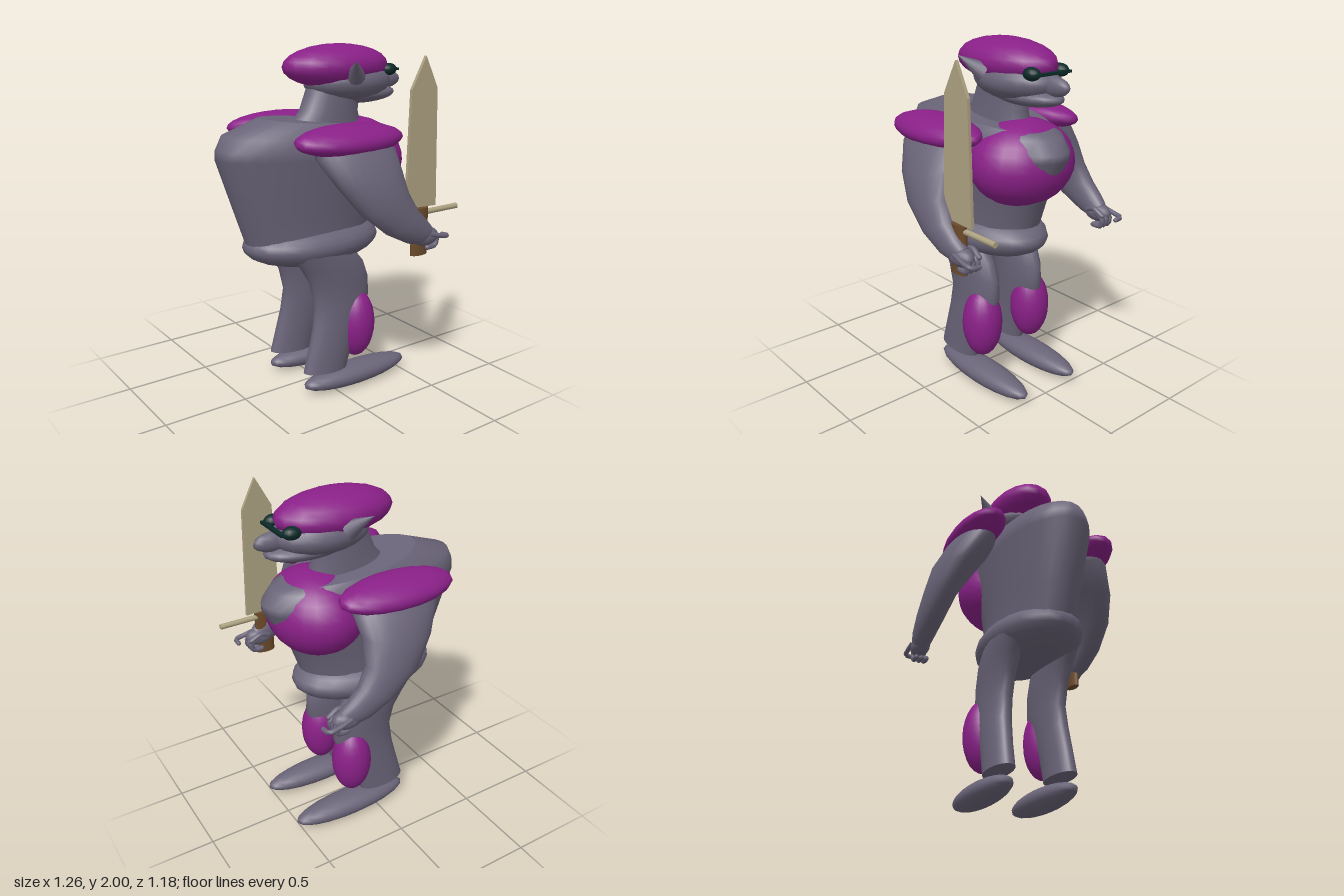
import * as THREE from 'three';

const mat = (name, color) => {
  const m = new THREE.MeshStandardMaterial({ color });
  m.name = name;
  return m;
};

export function createModel() {
  const root = new THREE.Group();
  root.name = 'armouredCreature';
  const skin = mat('grey skin', 0x6a6478);
  const armour = mat('purple armour', 0x8a2088);
  const steel = mat('pale blade', 0xada281);
  const wood = mat('brown grip', 0x6b4a2a);
  const dark = mat('dark glass', 0x0b2a28);

  const add = (name, geometry, material) => {
    const mesh = new THREE.Mesh(geometry, material);
    mesh.name = name;
    root.add(mesh);
    return mesh;
  };

  const ellipsoid = (name, material, [x, y, z], [rx, ry, rz], w = 20, h = 14) => {
    const mesh = add(name, new THREE.SphereGeometry(1, w, h), material);
    mesh.position.set(x, y, z);
    mesh.scale.set(rx, ry, rz);
    return mesh;
  };

  // Closed body through oval sections, listed bottom to top:
  // [back x, back y, front x, front y, centre z, half width in z]
  const loft = (name, material, sections, n = 24) => {
    const pos = [], idx = [];
    const ring = ([ax, ay, bx, by, cz, hz]) => {
      for (let j = 0; j < n; j++) {
        const t = (j / n) * Math.PI * 2, c = Math.cos(t) / 2;
        pos.push((ax + bx) / 2 + (bx - ax) * c, (ay + by) / 2 + (by - ay) * c, cz + hz * Math.sin(t));
      }
    };
    sections.forEach(ring);
    for (let k = 0; k < sections.length - 1; k++) {
      for (let j = 0; j < n; j++) {
        const a = k * n + j, b = k * n + ((j + 1) % n);
        idx.push(a, a + n, b, b, a + n, b + n);
      }
    }
    // separate cap rings keep the rims sharp
    [sections[0], sections[sections.length - 1]].forEach((s, top) => {
      const start = pos.length / 3;
      ring(s);
      pos.push((s[0] + s[2]) / 2, (s[1] + s[3]) / 2, s[4]);
      for (let j = 0; j < n; j++) {
        const a = start + j, b = start + ((j + 1) % n);
        idx.push(start + n, top ? b : a, top ? a : b);
      }
    });
    const g = new THREE.BufferGeometry();
    g.setAttribute('position', new THREE.Float32BufferAttribute(pos, 3));
    g.setIndex(idx);
    g.computeVertexNormals();
    return add(name, g, material);
  };

  const tube = (name, material, points, r) => {
    const v = points.map((p) => new THREE.Vector3(...p));
    add(name, new THREE.TubeGeometry(new THREE.CatmullRomCurve3(v), 10, r, 8), material);
    const tip = points[points.length - 1];
    ellipsoid(name + 'Tip', material, tip, [r, r, r], 8, 6);
  };

  // Trunk
  loft('torso', skin, [
    [-0.46, 0.93, 0.37, 0.99, 0, 0.21],
    [-0.52, 1.1, 0.42, 1.13, 0, 0.22],
    [-0.63, 1.42, 0.575, 1.4, 0, 0.265],
    [-0.625, 1.47, 0.575, 1.44, 0, 0.265],
    [-0.59, 1.54, 0.52, 1.51, 0, 0.25],
    [-0.36, 1.62, 0.44, 1.535, 0, 0.215],
  ], 32);
  ellipsoid('chestPlate', armour, [0.27, 1.345, 0], [0.265, 0.24, 0.31], 24, 16);
  ellipsoid('hips', skin, [-0.03, 0.9, 0], [0.44, 0.14, 0.27], 24, 14);

  // Head
  loft('neck', skin, [
    [-0.17, 1.56, 0.31, 1.52, 0, 0.12],
    [-0.1, 1.64, 0.28, 1.62, 0, 0.112],
    [-0.05, 1.76, 0.28, 1.74, 0, 0.11],
  ]);
  ellipsoid('face', skin, [0.22, 1.79, 0], [0.28, 0.115, 0.187]);
  ellipsoid('cap', armour, [0.14, 1.878, 0], [0.342, 0.122, 0.19], 18, 12);
  ellipsoid('muzzle', skin, [0.3, 1.715, 0], [0.25, 0.055, 0.125]);
  ellipsoid('nose', skin, [0.48, 1.785, 0], [0.127, 0.055, 0.042], 14, 10);
  const bar = add('glassesBar', new THREE.BoxGeometry(0.025, 0.014, 0.23), dark);
  bar.position.set(0.495, 1.85, 0);

  for (const s of [1, -1]) {
    const side = s > 0 ? 'left' : 'right';
    const name = (part) => side + part;

    ellipsoid(name('Lens'), dark, [0.44, 1.85, s * 0.1], [0.052, 0.035, 0.04], 14, 10);

    // Pointed ear, flattened and leaning back
    const base = new THREE.Vector3(0.15, 1.83, s * 0.165);
    const dir = new THREE.Vector3(0.07, 1.92, s * 0.275).sub(base);
    const len = dir.length();
    const ear = add(name('Ear'), new THREE.ConeGeometry(0.055, len, 12), skin);
    ear.position.copy(base).addScaledVector(dir, 0.5);
    ear.quaternion.setFromUnitVectors(new THREE.Vector3(0, 1, 0), dir.normalize());

    // Shoulder and arm
    const pad = ellipsoid(name('ShoulderPad'), armour, [-0.025, 1.525, s * 0.35], [0.345, 0.08, 0.147], 18, 12);
    pad.rotation.x = s * 0.15;
    loft(name('Arm'), skin, [
      [0.31, 0.93, 0.42, 1.02, s * 0.515, 0.05],
      [0.25, 0.945, 0.38, 1.06, s * 0.52, 0.06],
      [0.1, 1.02, 0.31, 1.13, s * 0.517, 0.074],
      [-0.06, 1.15, 0.255, 1.23, s * 0.497, 0.088],
      [-0.17, 1.3, 0.24, 1.36, s * 0.44, 0.12],
      [-0.25, 1.44, 0.25, 1.46, s * 0.37, 0.13],
      [-0.23, 1.53, 0.22, 1.53, s * 0.33, 0.11],
    ]);

    // Hand with curled fingers, a pointing finger and a thumb
    ellipsoid(name('Palm'), skin, [0.38, 0.965, s * 0.512], [0.09, 0.055, 0.055], 14, 10);
    for (let i = 0; i < 3; i++) {
      const z = s * (0.467 + i * 0.03);
      tube(name('CurledFinger'), skin, [[0.4, 0.98, z], [0.455, 0.95, z], [0.445, 0.905, z], [0.39, 0.9, z]], 0.016);
    }
    tube(name('PointingFinger'), skin, [[0.38, 0.985, s * 0.556], [0.46, 0.965, s * 0.562], [0.515, 0.955, s * 0.555], [0.52, 0.95, s * 0.51]], 0.014);
    tube(name('Thumb'), skin, [[0.34, 0.98, s * 0.465], [0.4, 1.0, s * 0.455], [0.46, 0.97, s * 0.46]], 0.015);

    // Leg, knee guard and foot
    loft(name('Leg'), skin, [
      [-0.205, 0.15, 0.09, 0.135, s * 0.18, 0.07],
      [-0.17, 0.28, 0.13, 0.27, s * 0.178, 0.07],
      [-0.135, 0.42, 0.2, 0.42, s * 0.172, 0.075],
      [-0.12, 0.55, 0.26, 0.55, s * 0.163, 0.08],
      [-0.15, 0.68, 0.25, 0.67, s * 0.163, 0.086],
      [-0.21, 0.78, 0.21, 0.77, s * 0.165, 0.092],
      [-0.29, 0.88, 0.15, 0.84, s * 0.165, 0.09],
    ]);
    ellipsoid(name('KneeGuard'), armour, [0.155, 0.39, s * 0.185], [0.117, 0.21, 0.115]);
    ellipsoid(name('Foot'), skin, [0.163, 0.068, s * 0.185], [0.37, 0.067, 0.095]);
  }

  // Sword in the left hand
  const outline = new THREE.Shape([[0.24, 1.14], [0.46, 1.13], [0.437, 1.78], [0.35, 1.95], [0.258, 1.78]]
    .map(([x, y]) => new THREE.Vector2(x, y)));
  const blade = add('swordBlade', new THREE.ExtrudeGeometry(outline, { depth: 0.018, bevelEnabled: false }), steel);
  blade.position.z = 0.491;
  const grip = add('swordGrip', new THREE.CylinderGeometry(1, 1, 0.27, 14), wood);
  grip.scale.set(0.058, 1, 0.027);
  grip.position.set(0.35, 0.995, 0.5);
  const guard = add('swordGuard', new THREE.CylinderGeometry(0.016, 0.016, 0.25, 12), steel);
  guard.rotation.z = Math.PI / 2;
  guard.position.set(0.505, 1.1, 0.498);

  return root;
}
